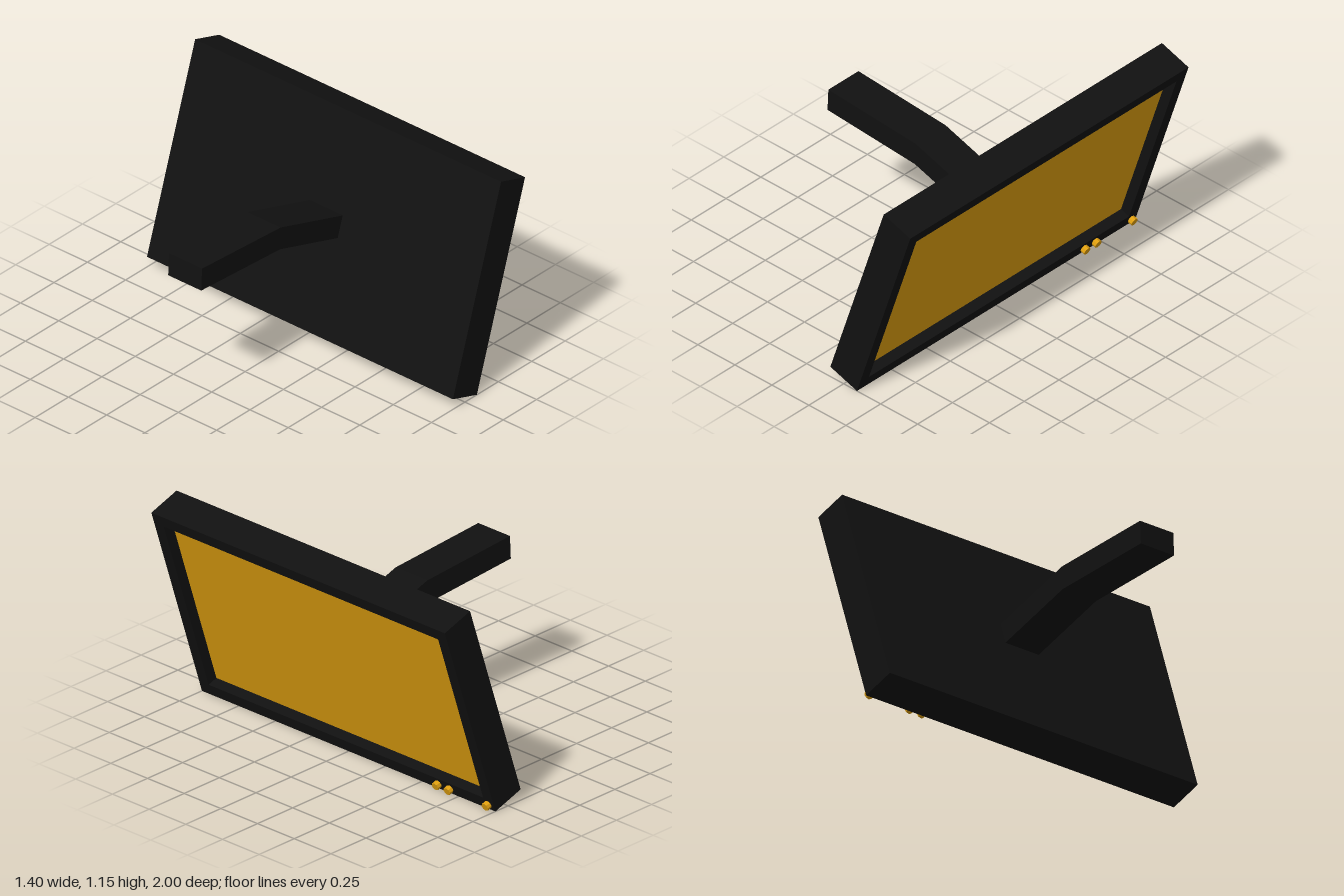
import * as THREE from 'three';

const black = new THREE.MeshStandardMaterial({ color: 0x111111, flatShading: true });
const amber = new THREE.MeshStandardMaterial({ color: 0xe0a010, flatShading: true });

const HEIGHT = 1.153, WIDTH = 2, THICK = 0.189, BEZEL = 0.065, RECESS = 0.06;

function add(parent, name, geometry, material, x = 0, y = 0, z = 0) {
  const mesh = new THREE.Mesh(geometry, material);
  mesh.name = name;
  mesh.position.set(x, y, z);
  parent.add(mesh);
  return mesh;
}

// Rectangular outline centred on the origin
function rect(PathType, w, h) {
  const p = new PathType();
  p.moveTo(-w / 2, -h / 2);
  p.lineTo(w / 2, -h / 2);
  p.lineTo(w / 2, h / 2);
  p.lineTo(-w / 2, h / 2);
  p.closePath();
  return p;
}

export function createModel() {
  const model = new THREE.Group();
  model.name = 'wallMountedDisplay';

  // Tilted display, its screen facing local +x
  const display = new THREE.Group();
  display.name = 'display';
  display.position.set(0.43, 0.583, 0);
  display.rotation.z = -0.318;
  model.add(display);

  const front = THICK / 2, seat = front - RECESS;
  add(display, 'housing', new THREE.BoxGeometry(THICK - RECESS, HEIGHT, WIDTH), black, -RECESS / 2);

  // Raised bezel around the recessed screen
  const screenW = WIDTH - 2 * BEZEL, screenH = HEIGHT - 2 * BEZEL;
  const outline = rect(THREE.Shape, WIDTH, HEIGHT);
  outline.holes.push(rect(THREE.Path, screenW, screenH));
  const bezel = new THREE.ExtrudeGeometry(outline, { depth: RECESS, bevelEnabled: false });
  bezel.rotateY(Math.PI / 2);
  add(display, 'bezel', bezel, black, seat);

  const screen = new THREE.PlaneGeometry(screenW, screenH).rotateY(Math.PI / 2);
  add(display, 'screen', screen, amber, seat + 0.002);

  // Control buttons along the lower edge
  const button = new THREE.CylinderGeometry(0.022, 0.022, 0.035, 8).rotateZ(-Math.PI / 2);
  for (const z of [-0.62, -0.7, -0.96]) {
    add(display, 'button', button, amber, front + 0.008, -0.546, z);
  }

  // Bent support arm
  const profile = new THREE.Shape([
    [-0.7, 0.735], [-0.11, 0.695], [0.325, 0.555],
    [0.365, 0.668], [-0.105, 0.82], [-0.694, 0.86],
  ].map(([x, y]) => new THREE.Vector2(x, y)));
  const arm = new THREE.ExtrudeGeometry(profile, { depth: 0.216, bevelEnabled: false });
  add(model, 'supportArm', arm, black, 0, 0, -0.11);

  return model;
}
